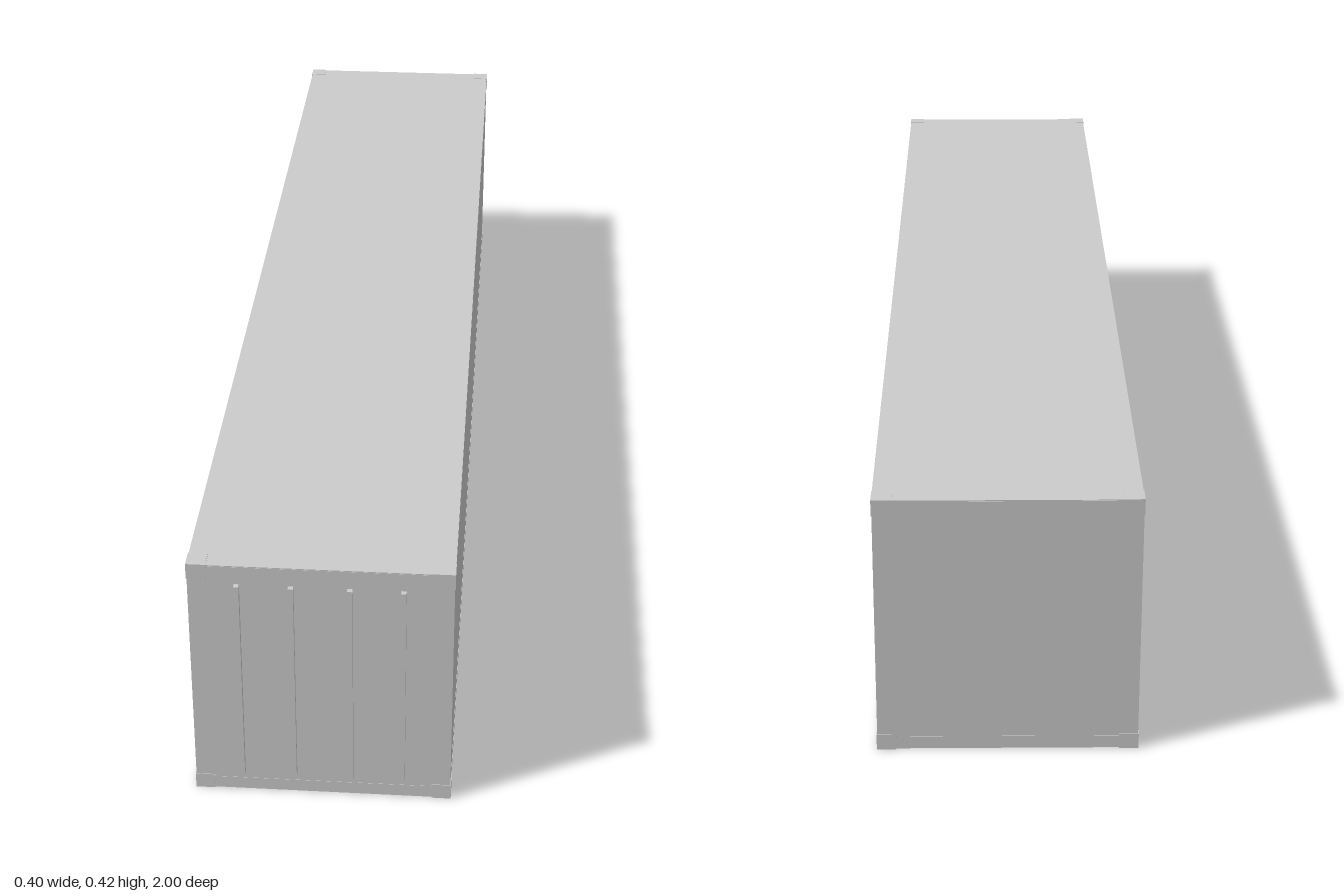
import * as THREE from 'three';

const W = 0.4, H = 0.424, BACK = -1, FRONT = 0.993;
const LENGTH = FRONT - BACK, MID = (FRONT + BACK) / 2;

export function createModel() {
  const group = new THREE.Group();
  group.name = 'shippingContainer';
  const material = new THREE.MeshStandardMaterial({ color: 0xcccccc, flatShading: true });

  const box = (name, w, h, d, x, y, z) => {
    const mesh = new THREE.Mesh(new THREE.BoxGeometry(w, h, d), material);
    mesh.name = name;
    mesh.position.set(x, y, z);
    group.add(mesh);
  };

  // Main shell, a hair inside the frame
  const inset = 0.001;
  box('body', W - 2 * inset, H - 2 * inset, LENGTH - 2 * inset, 0, H / 2, MID);

  // Corner castings and the rails that join them
  const cw = 0.03, ch = 0.026, rail = 0.02, gap = 0.0005;
  for (const top of [-1, 1]) {
    const cornerY = H / 2 + top * (H - ch) / 2;
    const railY = H / 2 + top * (H / 2 - 0.0025 - rail / 2);
    for (const s of [-1, 1]) {
      for (const end of [-1, 1]) {
        box('cornerCasting', cw, ch, cw, s * (W - cw) / 2, cornerY, MID + end * (LENGTH - cw) / 2);
      }
      box('sideRail', rail, rail, LENGTH - 2 * cw, s * (W / 2 - gap - rail / 2), railY, MID);
      box('endRail', W - 2 * cw, rail, rail, 0, railY, MID + s * (LENGTH / 2 - gap - rail / 2));
    }
  }

  // Vertical locking bars on the doors
  for (const x of [-0.125, -0.044, 0.044, 0.124]) {
    box('lockingBar', 0.008, 0.355, 0.01, x, 0.2135, 0.995);
  }
  return group;
}
